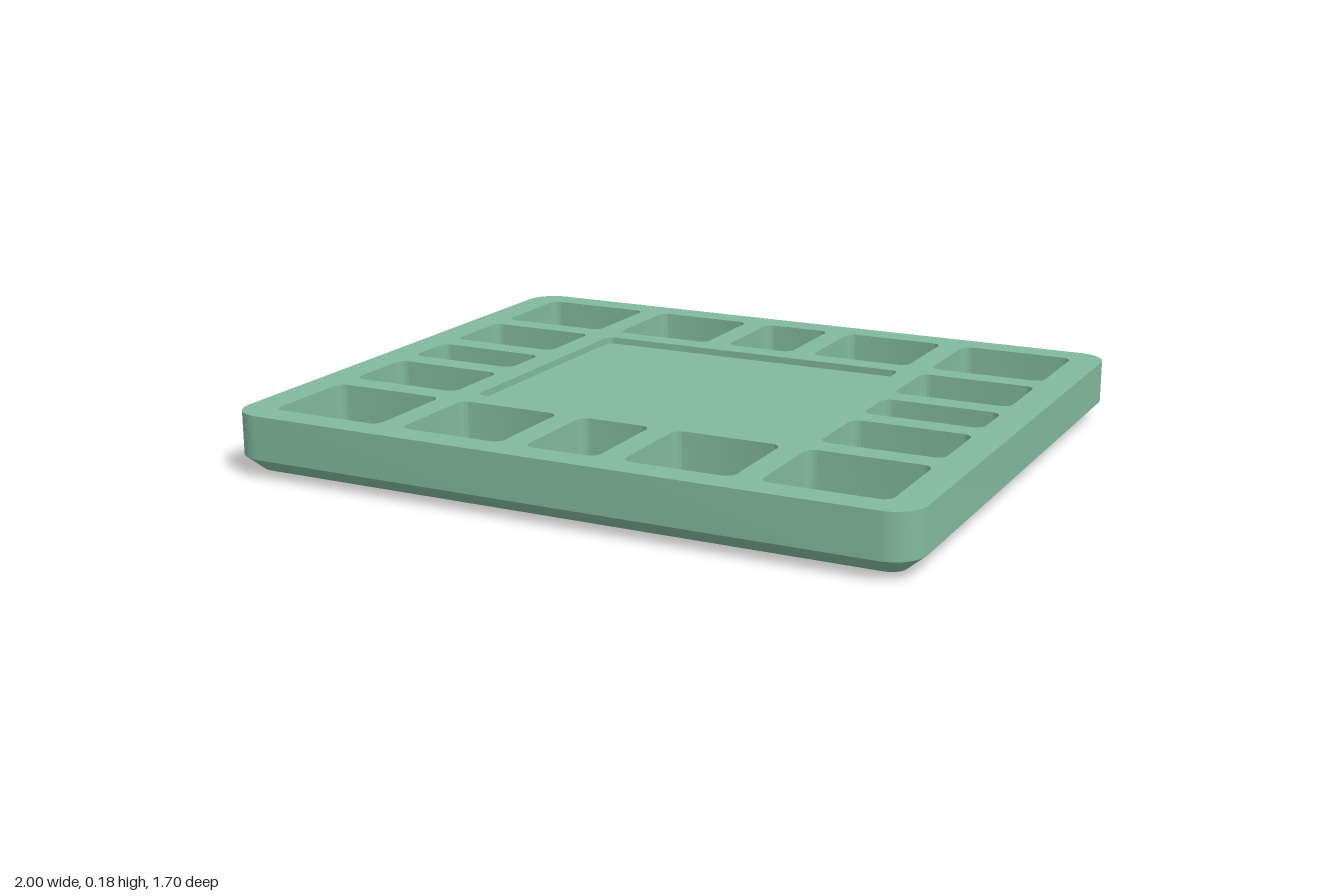
import * as THREE from 'three';
import { toCreasedNormals } from 'three/addons/utils/BufferGeometryUtils.js';

const HEIGHT = 0.18, FLOOR = 0.055, RECESS = 0.16;

// Rounded rectangle between two corners (shape y becomes -z when laid flat)
function roundedRect(target, x0, z0, x1, z1, r) {
  const y0 = -z1, y1 = -z0;
  target.absarc(x1 - r, y1 - r, r, 0, Math.PI / 2);
  target.absarc(x0 + r, y1 - r, r, Math.PI / 2, Math.PI);
  target.absarc(x0 + r, y0 + r, r, Math.PI, Math.PI * 1.5);
  target.absarc(x1 - r, y0 + r, r, Math.PI * 1.5, Math.PI * 2);
  target.closePath();
  return target;
}

// Skin through rounded-rectangle rings [inset, y, corner radius], listed bottom to top
function loftRings(rings) {
  const pos = [], idx = [], seg = 8, n = 4 * (seg + 1);
  const signs = [[1, 1], [-1, 1], [-1, -1], [1, -1]];
  for (const [inset, y, r] of rings) {
    signs.forEach(([sx, sz], q) => {
      for (let i = 0; i <= seg; i++) {
        const a = (q + i / seg) * Math.PI / 2;
        pos.push(sx * (1 - inset - r) + r * Math.cos(a), y, sz * (0.85 - inset - r) + r * Math.sin(a));
      }
    });
  }
  for (let k = 0; k < rings.length - 1; k++) {
    for (let i = 0; i < n; i++) {
      const a = k * n + i, b = k * n + (i + 1) % n;
      idx.push(a, a + n, b, b, a + n, b + n);
    }
  }
  // Closed underside
  for (let i = 1; i < n - 1; i++) idx.push(0, i, i + 1);
  const geo = new THREE.BufferGeometry();
  geo.setAttribute('position', new THREE.Float32BufferAttribute(pos, 3));
  geo.setIndex(idx);
  return toCreasedNormals(geo, 0.6);
}

export function createModel() {
  const tray = new THREE.Group();
  tray.name = 'compartmentTray';
  const green = new THREE.MeshStandardMaterial({ color: 0x82b99d });
  green.name = 'sageGreen';

  const add = (name, geo, y = 0, flat = true) => {
    if (flat) geo.rotateX(-Math.PI / 2);
    const mesh = new THREE.Mesh(geo, green);
    mesh.name = name;
    mesh.position.y = y;
    tray.add(mesh);
  };

  // Pocket layout around the border
  const cols = [[-0.907, -0.563], [-0.49, -0.18], [-0.107, 0.107], [0.18, 0.49], [0.563, 0.907]];
  const rows = [[-0.768, -0.463], [-0.393, -0.155], [-0.083, 0.083], [0.155, 0.39], [0.463, 0.768]];
  const pockets = [];
  rows.forEach(([z0, z1], j) => cols.forEach(([x0, x1], i) => {
    if (i % 4 === 0 || j % 4 === 0) pockets.push([x0, z0, x1, z1, 0.03]);
  }));
  const centre = [-0.49, -0.393, 0.49, 0.39, 0.025];

  // Body with all recesses cut through
  const outline = roundedRect(new THREE.Shape(), -1, -0.85, 1, 0.85, 0.09);
  for (const p of [...pockets, centre]) outline.holes.push(roundedRect(new THREE.Path(), ...p));
  const body = new THREE.ExtrudeGeometry(outline, { depth: HEIGHT - FLOOR, bevelEnabled: false, curveSegments: 8 });
  add('trayBody', toCreasedNormals(body, 0.6), FLOOR);

  // Bevelled underside
  add('trayBase', loftRings([[0.2, 0, 0.03], [0.07, 0.006, 0.03], [0.05, 0.012, 0.045], [0, FLOOR, 0.09]]), 0, false);

  // Pocket floors and shallow central panel
  const plate = (p) => new THREE.ShapeGeometry(roundedRect(new THREE.Shape(), ...p), 8);
  for (const p of pockets) add('pocketFloor', plate(p), FLOOR);
  add('centrePanel', plate(centre), RECESS);

  return tray;
}
